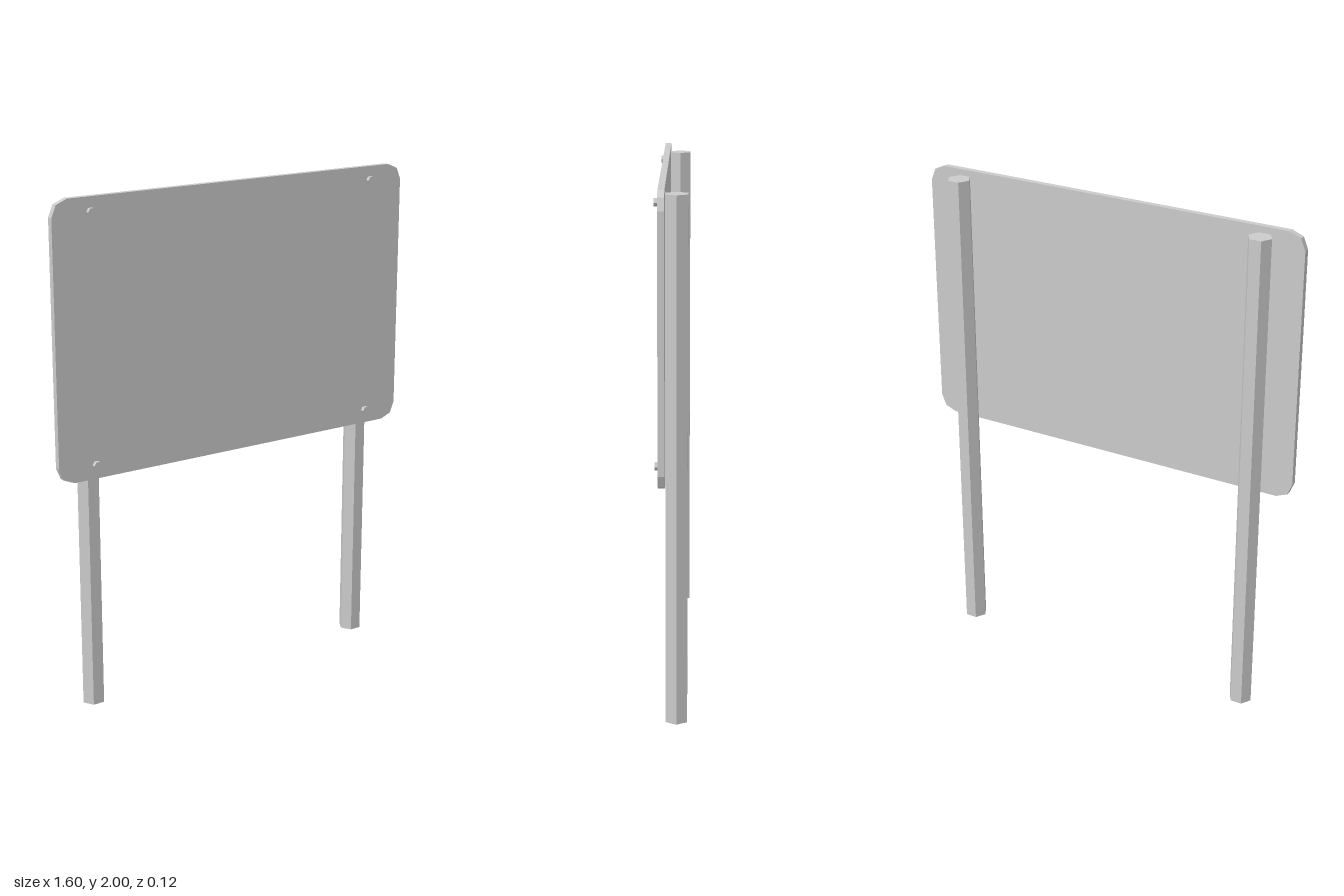
import * as THREE from 'three';

const material = new THREE.MeshStandardMaterial({ color: 0xcccccc, flatShading: true });

function addPart(group, name, geometry, x, y, z) {
  const mesh = new THREE.Mesh(geometry, material);
  mesh.name = name;
  mesh.position.set(x, y, z);
  group.add(mesh);
}

// Rectangle with corners rounded in two facets
function panelShape(w, h, r) {
  const points = [];
  const corners = [[1, 1], [-1, 1], [-1, -1], [1, -1]];
  corners.forEach(([sx, sy], i) => {
    for (let k = 0; k <= 2; k++) {
      const a = (i + k / 2) * Math.PI / 2;
      points.push(new THREE.Vector2(
        sx * (w / 2 - r) + r * Math.cos(a),
        sy * (h / 2 - r) + r * Math.sin(a)));
    }
  });
  return new THREE.Shape(points);
}

export function createModel() {
  const group = new THREE.Group();
  group.name = 'signboard';

  // Board
  const board = new THREE.ExtrudeGeometry(panelShape(1.596, 1.063, 0.064), { depth: 0.024, bevelEnabled: false });
  addPart(group, 'board', board, 0, 1.4685, 0.022);

  // Hexagonal posts with a flat side against the board
  const post = new THREE.CylinderGeometry(0.0465, 0.0465, 1.975, 6, 1, false, Math.PI / 6);
  // Hexagonal bolt heads, axis along z
  const bolt = new THREE.CylinderGeometry(0.016, 0.016, 0.018, 6, 1, false, Math.PI / 6);
  bolt.rotateX(Math.PI / 2);

  for (const side of [1, -1]) {
    const label = side > 0 ? 'left' : 'right';
    addPart(group, label + 'Post', post, side * 0.64, 0.9875, -0.0185);
    addPart(group, label + 'UpperBolt', bolt, side * 0.64, 1.945, 0.052);
    addPart(group, label + 'LowerBolt', bolt, side * 0.64, 0.992, 0.052);
  }
  return group;
}
